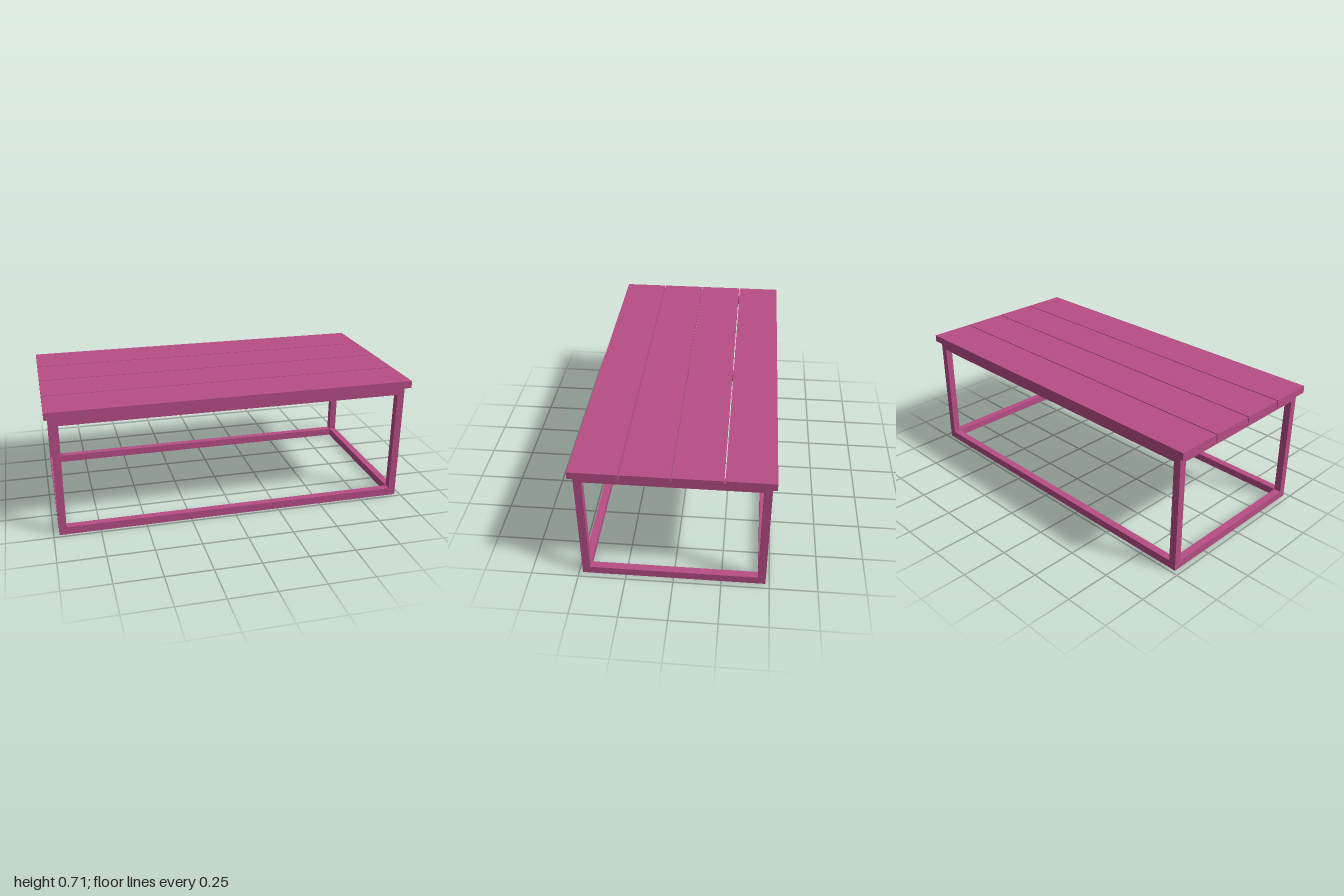
import * as THREE from 'three';

const LENGTH = 2, DEPTH = 1, TOP = 0.708, FRAME_TOP = 0.668;
const FRAME_X = 0.97, FRAME_Z = 0.48; // outer half sizes of the frame
const BAR = 0.04, RAIL_H = 0.043;     // bar width and rail height

export function createModel() {
  const table = new THREE.Group();
  table.name = 'slattedTable';
  const material = new THREE.MeshStandardMaterial({ color: 0xb84e86 });

  function box(name, parent, w, h, d, x, y, z) {
    const mesh = new THREE.Mesh(new THREE.BoxGeometry(w, h, d), material);
    mesh.name = name;
    mesh.position.set(x, y, z);
    parent.add(mesh);
  }

  // Table top: four planks with narrow gaps
  const top = new THREE.Group();
  top.name = 'tableTop';
  const count = 4, gap = 0.006;
  const plank = (DEPTH - gap * (count - 1)) / count;
  const plankH = TOP - FRAME_TOP;
  for (let i = 0; i < count; i++) {
    const z = -DEPTH / 2 + plank / 2 + i * (plank + gap);
    box('plank', top, LENGTH, plankH, plank, 0, FRAME_TOP + plankH / 2, z);
  }

  // Frame: box of square bars
  const frame = new THREE.Group();
  frame.name = 'frame';
  const x = FRAME_X - BAR / 2, z = FRAME_Z - BAR / 2;
  const innerX = 2 * (FRAME_X - BAR), innerZ = 2 * (FRAME_Z - BAR);
  const lowY = RAIL_H / 2, highY = FRAME_TOP - RAIL_H / 2;
  for (const s of [-1, 1]) {
    for (const t of [-1, 1]) box('leg', frame, BAR, FRAME_TOP, BAR, s * x, FRAME_TOP / 2, t * z);
    for (const y of [lowY, highY]) {
      box('longRail', frame, innerX, RAIL_H, BAR, 0, y, s * z);
      box('endRail', frame, BAR, RAIL_H, innerZ, s * x, y, 0);
    }
  }

  // Middle support under the planks
  box('crossbar', frame, BAR, RAIL_H, innerZ, 0, highY, 0);

  table.add(top, frame);
  return table;
}
